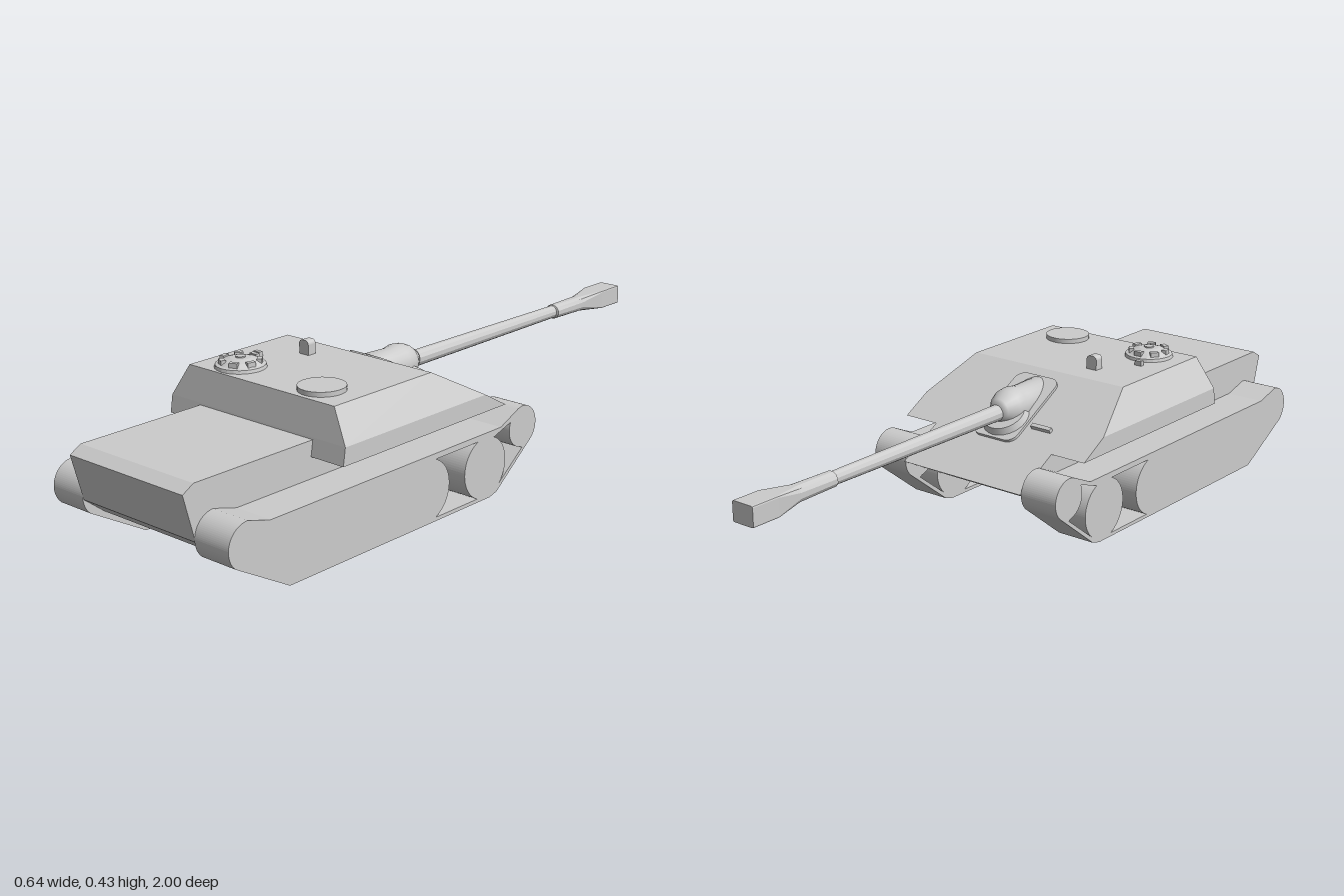
import * as THREE from 'three';

const grey = new THREE.MeshStandardMaterial({ color: 0xcccccc });
const flat = new THREE.MeshStandardMaterial({ color: 0xcccccc, flatShading: true });

function add(parent, name, geo, x = 0, y = 0, z = 0, mat = grey) {
  const m = new THREE.Mesh(geo, mat);
  m.name = name;
  m.position.set(x, y, z);
  parent.add(m);
  return m;
}

const points = (pts) => pts.map(([a, b]) => new THREE.Vector2(a, b));

// Extrudes a (z, y) side profile across x, centred on x = 0
function sideExtrude(shape, width) {
  const g = new THREE.ExtrudeGeometry(shape, { depth: width, bevelEnabled: false, curveSegments: 16 });
  return g.translate(0, 0, -width / 2).rotateY(-Math.PI / 2);
}

// Skins equal-length rings of [x, y, z] points and closes both ends
function loft(rings) {
  const n = rings[0].length, pos = rings.flat(2), idx = [];
  for (let r = 0; r < rings.length - 1; r++) {
    for (let i = 0; i < n; i++) {
      const a = r * n + i, b = r * n + (i + 1) % n;
      idx.push(a, b, b + n, a, b + n, a + n);
    }
  }
  const last = (rings.length - 1) * n;
  for (let i = 1; i < n - 1; i++) idx.push(0, i + 1, i, last, last + i, last + i + 1);
  const g = new THREE.BufferGeometry();
  g.setAttribute('position', new THREE.Float32BufferAttribute(pos, 3));
  g.setIndex(idx);
  const out = g.toNonIndexed();
  out.computeVertexNormals();
  return out;
}

// One track: solid rear run, front road wheel and sprocket separated by openings
function trackShape() {
  const s = new THREE.Shape();
  s.moveTo(0, 0);
  s.lineTo(0.77, 0);
  s.absarc(0.905, 0.148, 0.063, -0.85, 1.57, false);
  s.lineTo(0.83, 0.19);
  s.lineTo(-0.045, 0.19);
  s.absarc(-0.14, 0.168, 0.059, 1.1, 4.05, false);
  s.lineTo(-0.03, 0.008);
  s.closePath();
  // Opening between the road wheels
  const gap = new THREE.Path();
  gap.absarc(0.26, 0.092, 0.088, 1.95, 4.33, false);
  gap.absarc(0.02, 0.092, 0.088, -1.19, 1.19, false);
  gap.closePath();
  // Opening between wheel and sprocket
  const front = new THREE.Path();
  front.absarc(0.02, 0.092, 0.086, 2.0, 4.0, false);
  front.lineTo(-0.14, 0.106);
  front.absarc(-0.14, 0.168, 0.058, -1.4, 0.45, false);
  front.closePath();
  s.holes.push(gap, front);
  return s;
}

export function createModel() {
  const model = new THREE.Group();
  model.name = 'trackedGunVehicle';

  // Hull
  add(model, 'hull', sideExtrude(new THREE.Shape(points([
    [-0.205, 0.172], [-0.05, 0.092], [0.9, 0.092], [0.965, 0.143],
    [1.0, 0.272], [0.965, 0.292], [0.01, 0.291]])), 0.41));

  // Casemate: [y, half width, front z, rear z] from floor to roof
  const levels = [[0.248, 0.315, -0.069, 0.573], [0.297, 0.315, 0.018, 0.565], [0.387, 0.262, 0.18, 0.547]];
  add(model, 'casemate', loft(levels.map(([y, w, zf, zr]) =>
    [[-w, y, zr], [w, y, zr], [w, y, zf], [-w, y, zf]])));

  // Tracks
  const trackGeo = sideExtrude(trackShape(), 0.115);
  for (const s of [1, -1]) add(model, s > 0 ? 'leftTrack' : 'rightTrack', trackGeo, s * 0.2625);

  // Gun barrel: [z, half width, half height, roundness], round tube to boxy muzzle
  const gunY = 0.317;
  const sections = [[0, 0.024, 0.024, 1], [-0.3, 0.021, 0.022, 1], [-0.698, 0.018, 0.019, 1],
    [-0.7, 0.024, 0.022, 1], [-0.83, 0.025, 0.023, 0.8], [-0.915, 0.035, 0.028, 0.12], [-1, 0.035, 0.028, 0.12]];
  const bend = (v, e) => Math.sign(v) * Math.pow(Math.abs(v), e);
  add(model, 'gunBarrel', loft(sections.map(([z, w, h, e]) =>
    Array.from({ length: 12 }, (_, i) => {
      const t = (i + 0.5) / 12 * Math.PI * 2;
      return [w * bend(Math.sin(t), e), gunY + h * bend(Math.cos(t), e), z];
    }))));

  // Ball mantlet with its sleeve, as [radius, distance forward]
  const mantlet = [[0, -0.15], [0.054, -0.15], [0.05, -0.05], [0.055, -0.02], [0.052, 0.005],
    [0.043, 0.025], [0.033, 0.038], [0.026, 0.05], [0, 0.05]];
  const mantletGeo = new THREE.LatheGeometry(points(mantlet), 24).rotateX(-Math.PI / 2);
  add(model, 'mantlet', mantletGeo, 0, gunY + 0.004, 0);

  // Rounded frame and collar lying on the sloped front plate
  const slope = Math.atan2(0.139, 0.249);
  const frameGroup = new THREE.Group();
  frameGroup.name = 'mantletFrame';
  frameGroup.position.set(0, 0.309, 0.04);
  frameGroup.rotation.x = -slope;
  model.add(frameGroup);
  const frame = new THREE.Shape();
  const W = 0.073, H = 0.125, R = 0.03;
  frame.absarc(W - R, H - R, R, 0, Math.PI / 2);
  frame.absarc(R - W, H - R, R, Math.PI / 2, Math.PI);
  frame.absarc(R - W, R - H, R, Math.PI, Math.PI * 1.5);
  frame.absarc(W - R, R - H, R, Math.PI * 1.5, Math.PI * 2);
  const frameGeo = new THREE.ExtrudeGeometry(frame, { depth: 0.008, bevelEnabled: false });
  add(frameGroup, 'framePlate', frameGeo.rotateX(-Math.PI / 2));
  add(frameGroup, 'collar', new THREE.CylinderGeometry(0.06, 0.07, 0.025, 24), 0, 0.014, -0.05);

  // Step on the front plate
  const step = add(model, 'frontStep', new THREE.BoxGeometry(0.065, 0.014, 0.012), -0.125, 0.288, -0.008);
  step.rotation.x = -slope;

  // Cupola: dome, cap and a ring of vision blocks
  const cupola = new THREE.Group();
  cupola.name = 'cupola';
  cupola.position.set(-0.148, 0.387, 0.47);
  model.add(cupola);
  const dome = [[0.07, 0], [0.068, 0.009], [0.06, 0.011], [0.047, 0.02], [0.028, 0.026], [0, 0.027]];
  add(cupola, 'dome', new THREE.LatheGeometry(points(dome), 24), 0, 0, 0, flat);
  add(cupola, 'cap', new THREE.CylinderGeometry(0.014, 0.014, 0.006, 12), 0, 0.027, 0);
  for (let i = 0; i < 7; i++) {
    const a = i / 7 * Math.PI * 2 + Math.PI;
    const block = add(cupola, 'visionBlock', new THREE.BoxGeometry(0.024, 0.014, 0.014),
      Math.sin(a) * 0.051, 0.018, Math.cos(a) * 0.051);
    block.rotation.y = a;
  }

  // Round roof hatch
  add(model, 'roofHatch', new THREE.CylinderGeometry(0.064, 0.064, 0.013, 32), 0.147, 0.3935, 0.47);

  // Roof periscope with a rounded top, and a small roof block
  const scope = new THREE.Shape();
  scope.moveTo(-0.017, 0);
  scope.lineTo(0.017, 0);
  scope.absarc(0.005, 0.028, 0.012, 0, Math.PI / 2);
  scope.absarc(-0.005, 0.028, 0.012, Math.PI / 2, Math.PI);
  const scopeGeo = new THREE.ExtrudeGeometry(scope, { depth: 0.028, bevelEnabled: false });
  add(model, 'periscope', scopeGeo, -0.098, 0.387, 0.256);
  add(model, 'roofBlock', new THREE.BoxGeometry(0.022, 0.014, 0.013), -0.18, 0.394, 0.375);

  return model;
}
